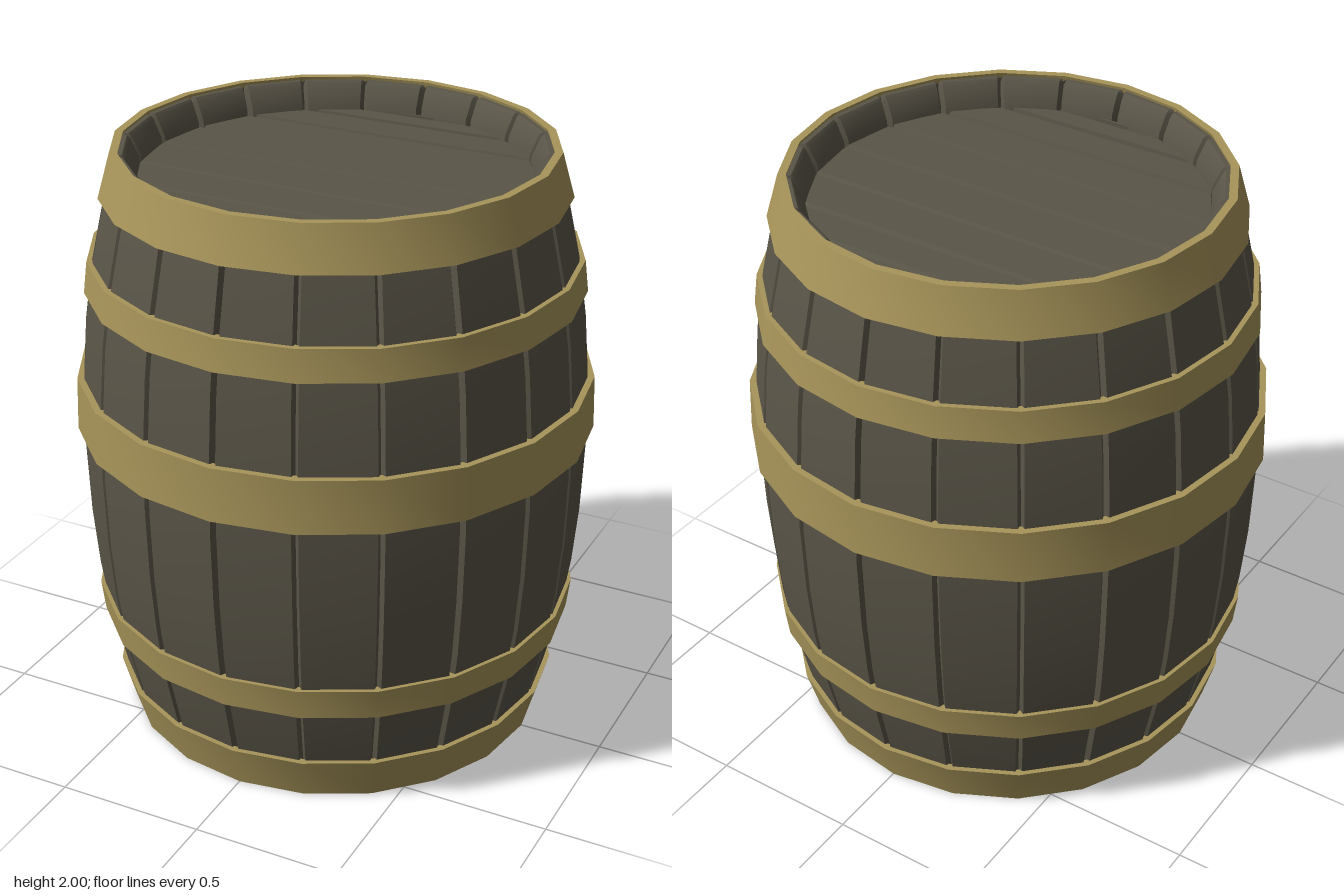
import * as THREE from 'three';
import { toCreasedNormals } from 'three/addons/utils/BufferGeometryUtils.js';

const SIDES = 20;
const STEP = (Math.PI * 2) / SIDES;
const wood = new THREE.MeshStandardMaterial({ color: 0x5a5548 });
const brass = new THREE.MeshStandardMaterial({ color: 0xa8955a });

function part(name, geometry, material) {
  const mesh = new THREE.Mesh(geometry, material);
  mesh.name = name;
  return mesh;
}

// Bulging ring of staves: a profile swept round a 20-gon, with a V groove at every corner
function stavesGeometry() {
  const lower = [[0.632, 0.13], [0.638, 0.08], [0.665, 0.02], [0.675, 0.01], [0.702, 0.01],
    [0.74, 0.15], [0.787, 0.36], [0.815, 0.55], [0.832, 0.75]];
  const upper = lower.map(([r, y]) => [r, 2 - y]).reverse();
  const profile = [...lower, [0.84, 1], ...upper];
  const rows = profile.length;
  const halfGroove = 0.011, depth = 0.02;
  const positions = [], index = [];

  for (let k = 0; k < SIDES; k++) {
    const a = k * STEP;
    for (const side of [-1, 0, 1]) {
      profile.forEach(([r, y], j) => {
        const p = profile[Math.max(j - 1, 0)], n = profile[Math.min(j + 1, rows - 1)];
        const tr = n[0] - p[0], ty = n[1] - p[1], len = Math.hypot(tr, ty);
        if (side === 0) {
          // groove floor, sunk against the surface normal
          const gr = r - (depth * ty) / len, gy = y + (depth * tr) / len;
          positions.push(gr * Math.sin(a), gy, gr * Math.cos(a));
        } else {
          // groove lip, a short way along the flat face of the stave
          const dir = a + side * (Math.PI / 2 + STEP / 2);
          positions.push(r * Math.sin(a) + halfGroove * Math.sin(dir), y,
            r * Math.cos(a) + halfGroove * Math.cos(dir));
        }
      });
    }
  }
  const columns = SIDES * 3;
  for (let i = 0; i < columns; i++) {
    for (let j = 0; j < rows - 1; j++) {
      const a = i * rows + j, b = ((i + 1) % columns) * rows + j;
      index.push(a, b, b + 1, a, b + 1, a + 1);
    }
  }
  const geometry = new THREE.BufferGeometry();
  geometry.setAttribute('position', new THREE.Float32BufferAttribute(positions, 3));
  geometry.setIndex(index);
  return toCreasedNormals(geometry, 0.5);
}

// Metal band with a slanted outer face
function hoopGeometry(y0, r0, y1, r1, thickness) {
  const points = [[r0, y0], [r1, y1], [r1 - thickness, y1], [r0 - thickness, y0], [r0, y0]]
    .map(([r, y]) => new THREE.Vector2(r, y));
  return toCreasedNormals(new THREE.LatheGeometry(points, SIDES), 0.5);
}

// Round head of chamfered planks running along x, facing up, surface at y = 0
function createHead(name) {
  const head = new THREE.Group();
  head.name = name;
  const R = 0.645, bevel = 0.009, inset = 0.012;
  for (let k = -5; k < 5; k++) {
    const z0 = R * Math.sin(k * STEP), z1 = R * Math.sin((k + 1) * STEP);
    const w0 = Math.max(R * Math.cos(k * STEP) - bevel, 0.03);
    const w1 = Math.max(R * Math.cos((k + 1) * STEP) - bevel, 0.03);
    const shape = new THREE.Shape([
      new THREE.Vector2(-w0, z0 + inset), new THREE.Vector2(w0, z0 + inset),
      new THREE.Vector2(w1, z1 - inset), new THREE.Vector2(-w1, z1 - inset),
    ]);
    const geometry = new THREE.ExtrudeGeometry(shape, {
      depth: 0.015, bevelEnabled: true, bevelSize: bevel, bevelThickness: 0.012, bevelSegments: 1,
    });
    geometry.rotateX(-Math.PI / 2).translate(0, -0.027, 0);
    head.add(part('headPlank', geometry, wood));
  }
  const backing = part('headBacking', new THREE.CylinderGeometry(0.65, 0.65, 0.02, SIDES), wood);
  backing.position.y = -0.03;
  head.add(backing);
  return head;
}

export function createModel() {
  const barrel = new THREE.Group();
  barrel.name = 'barrel';
  barrel.add(part('staves', stavesGeometry(), wood));

  // Hoops: bottom y, bottom radius, top y, top radius, thickness
  const hoops = {
    bottomHoop: [0, 0.715, 0.15, 0.757, 0.027],
    lowerHoop: [0.36, 0.803, 0.467, 0.816, 0.03],
    middleHoop: [1.06, 0.86, 1.24, 0.854, 0.035],
    upperHoop: [1.54, 0.816, 1.645, 0.803, 0.03],
    topHoop: [1.855, 0.757, 2, 0.715, 0.027],
  };
  for (const [name, size] of Object.entries(hoops)) {
    barrel.add(part(name, hoopGeometry(...size), brass));
  }

  // Recessed heads at both ends
  const topHead = createHead('topHead');
  topHead.position.y = 1.9;
  const bottomHead = createHead('bottomHead');
  bottomHead.rotation.x = Math.PI;
  bottomHead.position.y = 0.1;
  barrel.add(topHead, bottomHead);
  return barrel;
}
